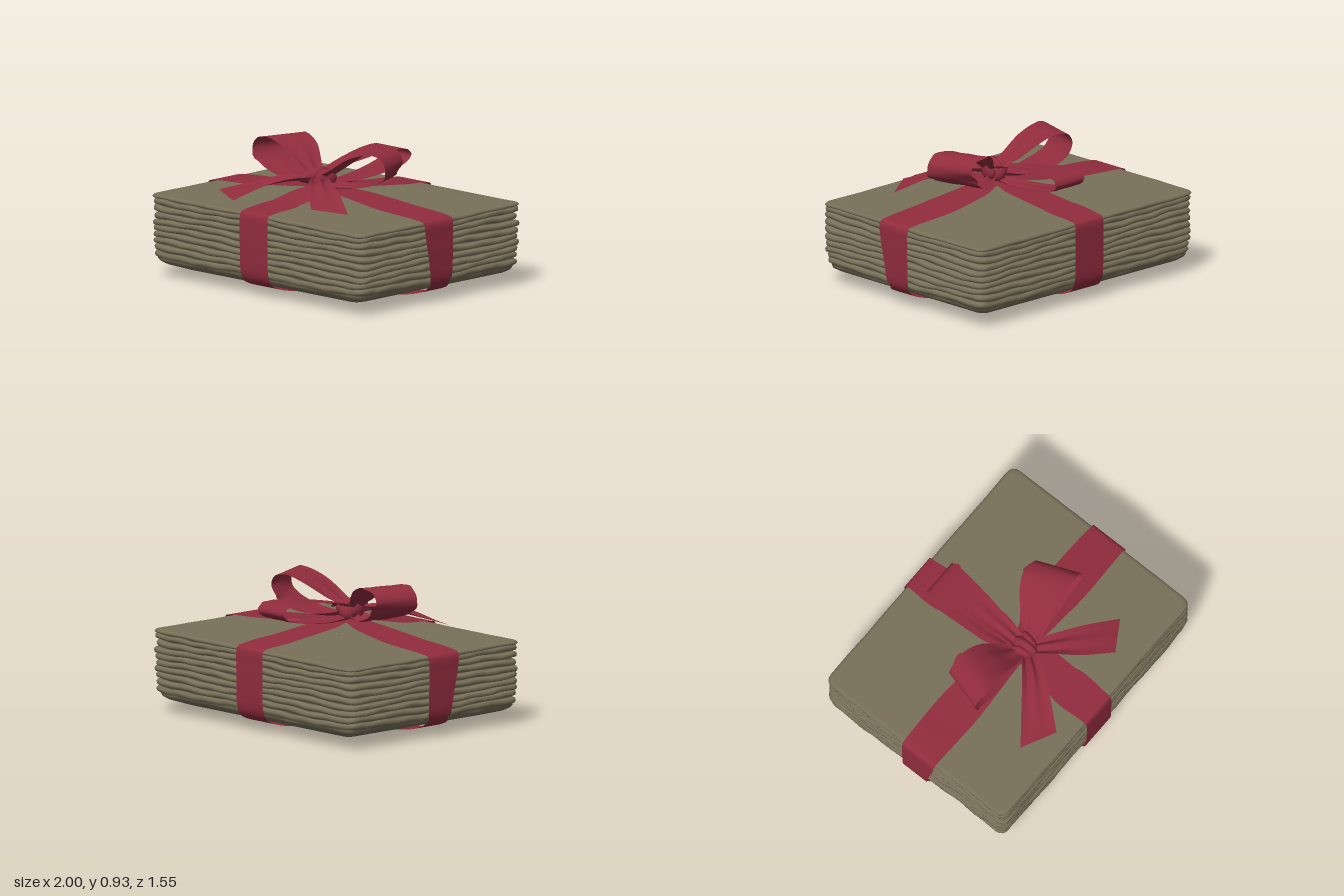
import * as THREE from 'three';

const paper = new THREE.MeshStandardMaterial({ color: 0x787059 });
paper.name = 'paper';
const satin = new THREE.MeshStandardMaterial({ color: 0x912c3e, side: THREE.DoubleSide });
satin.name = 'red satin';

function seeded(seed) {
  return () => {
    seed = (seed * 16807) % 2147483647;
    return seed / 2147483647;
  };
}

// Indexed surface from a grid of points
function gridGeometry(rows, wrap) {
  const n = rows[0].length, pos = [], idx = [];
  rows.forEach(row => row.forEach(p => pos.push(p.x, p.y, p.z)));
  for (let i = 0; i < rows.length - 1; i++) {
    for (let j = 0; j < (wrap ? n : n - 1); j++) {
      const k = (j + 1) % n;
      const a = i * n + j, b = i * n + k, c = a + n, d = b + n;
      idx.push(a, c, b, b, c, d);
    }
  }
  const g = new THREE.BufferGeometry();
  g.setAttribute('position', new THREE.Float32BufferAttribute(pos, 3));
  g.setIndex(idx);
  g.computeVertexNormals();
  return g;
}

// Ribbon through stations [x, y, z, halfX, halfY, halfZ], with pleats given by fold(u)
function ribbon(name, stations, { closed = false, fold = () => 0, steps = 60 } = {}) {
  const mid = new THREE.CatmullRomCurve3(stations.map(s => new THREE.Vector3(s[0], s[1], s[2])), closed);
  const half = new THREE.CatmullRomCurve3(stations.map(s => new THREE.Vector3(s[3], s[4], s[5])), closed);
  const rows = [];
  for (let i = 0; i <= steps; i++) {
    const u = i / steps, row = [];
    for (let j = 0; j <= 14; j++) {
      const v = j / 7 - 1;
      const p = mid.getPoint(u).addScaledVector(half.getPoint(u), v);
      p.y += fold(u) * Math.cos(v * Math.PI * 2);
      row.push(p);
    }
    rows.push(row);
  }
  const mesh = new THREE.Mesh(gridGeometry(rows, false), satin);
  mesh.name = name;
  return mesh;
}

// Stack of worn sheets: rounded rectangle loops with bulging layers and a bowed underside
function buildStack() {
  const W = 0.98, D = 0.76, R = 0.07, N = 260;
  const s = new THREE.Shape();
  s.moveTo(W - R, -D);
  s.quadraticCurveTo(W, -D, W, -D + R);
  s.lineTo(W, D - R);
  s.quadraticCurveTo(W, D, W - R, D);
  s.lineTo(-W + R, D);
  s.quadraticCurveTo(-W, D, -W, D - R);
  s.lineTo(-W, -D + R);
  s.quadraticCurveTo(-W, -D, -W + R, -D);
  s.closePath();
  const outline = s.getSpacedPoints(N).slice(0, N);
  const rand = seeded(41);

  // Profile entries: [scale, y, unevenness]
  const profile = [[0.001, 0.012, 0], [0.3, 0.015, 0], [0.6, 0.03, 0], [0.8, 0.055, 0],
    [0.92, 0.088, 0], [0.955, 0.108, 0.1], [0.965, 0.125, 0.5]];
  const layers = 9, y0 = 0.13, step = 0.4 / layers;
  for (let i = 0; i < layers; i++) {
    const y = y0 + i * step, out = 0.978 + 0.014 * rand();
    profile.push([0.965, y + step * 0.06, 1], [out, y + step * 0.2, 1],
      [out + 0.004, y + step * 0.55, 1], [out - 0.002, y + step * 0.85, 1], [0.966, y + step * 0.97, 1]);
  }
  profile.push([0.992, 0.532, 0.5], [0.998, 0.542, 0.3], [0.99, 0.552, 0.2],
    [0.97, 0.556, 0], [0.6, 0.558, 0], [0.001, 0.56, 0]);

  const rows = profile.map(([scale, y, rough], r) => {
    const layer = Math.floor((r - 7) / 5);
    const f1 = 5 + ((layer * 7 + 70) % 9), f2 = 17 + ((layer * 5 + 50) % 13), ph = layer * 2.3;
    return outline.map((p, j) => {
      const t = (j / N) * Math.PI * 2;
      const k = scale + rough * (0.004 * Math.sin(f1 * t + ph) + 0.003 * Math.sin(f2 * t + ph) + 0.003 * (rand() - 0.5));
      const dy = rough * (0.006 * Math.sin(6 * t + layer * 0.8) + 0.003 * Math.sin(f2 * t));
      return new THREE.Vector3(p.x * Math.min(k, 1.002), y + dy, p.y * Math.min(k, 1.002));
    });
  });
  const mesh = new THREE.Mesh(gridGeometry(rows, true), paper);
  mesh.name = 'paperStack';
  return mesh;
}

// Half of the wrapping path from the top middle to the bottom middle: [across, y, shift, half width]
const wrap = [[0, 0.65, 0.1, 0.07], [0.25, 0.628, 0.07, 0.12], [0.6, 0.59, 0.055, 0.145],
  [0.93, 0.567, 0.05, 0.137], [0.982, 0.556, 0.05, 0.135], [0.996, 0.53, 0.05, 0.133],
  [0.998, 0.45, 0.045, 0.128], [0.996, 0.3, 0.03, 0.112], [0.985, 0.15, 0.02, 0.1],
  [0.95, 0.095, 0.02, 0.1], [0.9, 0.07, 0.02, 0.1], [0.8, 0.043, 0.02, 0.1],
  [0.6, 0.016, 0.02, 0.1], [0.3, 0.003, 0.02, 0.1], [0, 0, 0.02, 0.1]];
const loopPath = [...wrap, ...wrap.slice(1, -1).reverse().map(([a, ...rest]) => [-a, ...rest])];

export function createModel() {
  const model = new THREE.Group();
  model.name = 'tiedPaperStack';
  model.add(buildStack());

  // Two bands around the stack
  model.add(ribbon('sideToSideBand',
    loopPath.map(([a, y, shift, h]) => [a, y, shift, 0, 0, h]), { closed: true, steps: 168 }));
  model.add(ribbon('frontToBackBand', loopPath.map(([a, y, , h]) => {
    const z = a * 0.777 + (y > 0.6 ? 0.1 * (1 - Math.abs(a)) : 0);
    return [0, y + 0.003, z, y > 0.6 ? h : 0.127, 0, 0];
  }), { closed: true, steps: 168 }));

  const bow = new THREE.Group();
  bow.name = 'bow';
  model.add(bow);
  const pleat = u => 0.016 * Math.pow(Math.abs(2 * u - 1), 3);

  // Side loops
  for (const [side, name, dz, slant] of [[-1, 'rightLoop', 0.05, 0.04], [1, 'leftLoop', 0, 0.06]]) {
    const pts = [[0.03, 0.72, 0.14, 0.0, 0.05], [0.12, 0.775, 0.11, 0.01, 0.09],
      [0.26, 0.88, 0.04 + dz * 0.6, 0.03, 0.13], [0.4, 0.928, dz, slant, 0.145],
      [0.5, 0.905, dz, slant, 0.145], [0.535, 0.84, dz, slant, 0.145],
      [0.48, 0.755, dz, slant, 0.145], [0.34, 0.695, 0.02 + dz, 0.03, 0.135],
      [0.17, 0.668, 0.07 + dz * 0.5, 0.01, 0.1], [0.03, 0.68, 0.14, 0.0, 0.05]];
    bow.add(ribbon(name, pts.map(([x, y, z, hx, hz]) => [side * x, y, z, side * hx, 0, hz]), { fold: pleat }));
  }

  // Flat loop towards the back
  bow.add(ribbon('backLoop', [[0.73, 0.12, 0.045], [0.765, 0, 0.06], [0.8, -0.18, 0.09], [0.825, -0.36, 0.113],
    [0.828, -0.5, 0.127], [0.81, -0.565, 0.127], [0.77, -0.583, 0.127], [0.73, -0.54, 0.125],
    [0.69, -0.38, 0.113], [0.662, -0.15, 0.09], [0.66, 0.12, 0.045]]
    .map(([y, z, h]) => [-0.005, y, z, h, 0, 0]), { fold: u => pleat(u) * 0.8 }));

  // Loose tails
  const tailFold = u => 0.018 * (1 - u);
  bow.add(ribbon('rightTail', [[-0.02, 0.71, 0.19, 0.04, 0, 0.02], [-0.13, 0.715, 0.32, 0.07, 0, 0.035],
    [-0.26, 0.675, 0.45, 0.095, 0.005, 0.045], [-0.42, 0.605, 0.605, 0.12, -0.012, 0.055]], { fold: tailFold }));
  bow.add(ribbon('leftTail', [[0.02, 0.71, 0.18, 0.035, 0, -0.03], [0.14, 0.715, 0.29, 0.06, 0, -0.045],
    [0.29, 0.675, 0.41, 0.085, 0.005, -0.06], [0.475, 0.61, 0.545, 0.105, -0.012, -0.065]], { fold: tailFold }));

  // Knot of bunched folds
  const lobes = [[0, 0.695, 0.14, 0.07, 0.075, 0.095, 0], [-0.048, 0.715, 0.15, 0.032, 0.06, 0.075, 0.25],
    [0.048, 0.715, 0.14, 0.032, 0.06, 0.08, -0.25], [0, 0.735, 0.15, 0.036, 0.055, 0.09, 0.05]];
  lobes.forEach(([x, y, z, sx, sy, sz, turn], i) => {
    const lobe = new THREE.Mesh(new THREE.SphereGeometry(1, 24, 16), satin);
    lobe.name = 'knotFold' + (i + 1);
    lobe.position.set(x, y, z);
    lobe.scale.set(sx, sy, sz);
    lobe.rotation.y = turn;
    bow.add(lobe);
  });
  return model;
}
